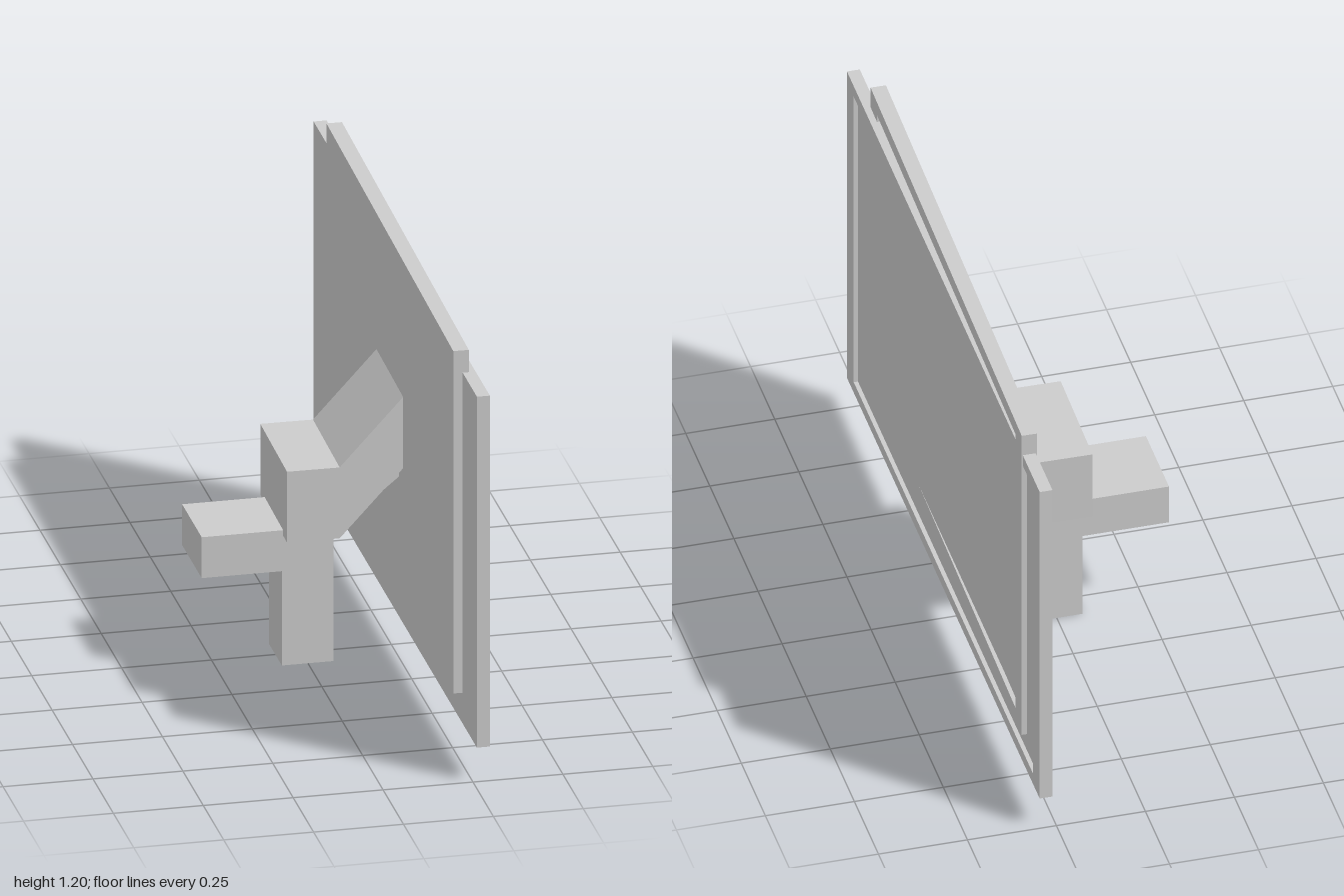
import * as THREE from 'three';

const material = new THREE.MeshStandardMaterial({ color: 0xcccccc, flatShading: true });
const openMaterial = new THREE.MeshStandardMaterial({ color: 0xcccccc, flatShading: true, side: THREE.DoubleSide });

function mesh(geometry, name, mat = material) {
  const m = new THREE.Mesh(geometry, mat);
  m.name = name;
  return m;
}

function rectangle(Type, w, h) {
  const p = new Type();
  p.moveTo(-w / 2, -h / 2);
  p.lineTo(w / 2, -h / 2);
  p.lineTo(w / 2, h / 2);
  p.lineTo(-w / 2, h / 2);
  p.closePath();
  return p;
}

// Flat screen facing +x: a backing slab with a raised bezel around the display.
// The group's origin is the middle of the screen's back.
function screen(name, width, height, thickness, border, recess) {
  const group = new THREE.Group();
  group.name = name;

  const slabDepth = thickness - recess;
  const slab = mesh(new THREE.BoxGeometry(slabDepth, height, width), 'display');
  slab.position.x = slabDepth / 2;

  const outline = rectangle(THREE.Shape, width, height);
  outline.holes.push(rectangle(THREE.Path, width - 2 * border, height - 2 * border));
  const frame = mesh(new THREE.ExtrudeGeometry(outline, { depth: recess, bevelEnabled: false }), 'bezel');
  frame.rotation.y = Math.PI / 2;
  frame.position.x = slabDepth;

  group.add(slab, frame);
  return group;
}

// Bent bracket: a side outline in x and y, extruded along z
function bracket(name, points, width) {
  const shape = new THREE.Shape(points.map(([x, y]) => new THREE.Vector2(x, y)));
  const geometry = new THREE.ExtrudeGeometry(shape, { depth: width, bevelEnabled: false });
  geometry.translate(0, 0, -width / 2);
  return mesh(geometry, name);
}

export function createModel() {
  const model = new THREE.Group();
  model.name = 'screenStand';
  const swivel = -0.0133;

  // Wide screen, square to the stand
  const wide = screen('wideScreen', 2, 1.03, 0.036, 0.07, 0.012);
  wide.scale.set(1, 1, 1);
  wide.children[1].geometry.dispose();
  const wideOutline = rectangle(THREE.Shape, 2, 1.03);
  wideOutline.holes.push(rectangle(THREE.Path, 1.86, 0.96));
  wide.children[1].geometry = new THREE.ExtrudeGeometry(wideOutline, { depth: 0.012, bevelEnabled: false });
  wide.position.set(0.261, 0.615, 0);

  // Narrower screen, slightly swivelled and cutting through the wide one
  const narrow = screen('narrowScreen', 1.65, 1.005, 0.043, 0.07, 0.012);
  narrow.children[1].geometry.dispose();
  const narrowOutline = rectangle(THREE.Shape, 1.65, 1.005);
  narrowOutline.holes.push(rectangle(THREE.Path, 1.51, 0.92));
  narrow.children[1].geometry = new THREE.ExtrudeGeometry(narrowOutline, { depth: 0.012, bevelEnabled: false });
  narrow.position.set(0.246, 0.693, 0);
  narrow.rotation.y = swivel;

  // Large bracket turns with the narrow screen
  const large = bracket('largeBracket', [
    [-0.076, 0.397], [0.07, 0.397], [0.25, 0.592], [0.25, 0.801], [0.07, 0.605], [-0.076, 0.605],
  ], 0.347);
  large.position.z = -0.004;
  large.rotation.y = swivel;

  // Small bracket reaches back past the post
  const small = bracket('smallBracket', [
    [-0.304, 0.293], [-0.06, 0.293], [0.263, 0.556], [0.263, 0.677], [-0.06, 0.413], [-0.304, 0.413],
  ], 0.24);
  small.position.z = -0.002;

  // Hollow square post, open at the foot
  const post = mesh(new THREE.CylinderGeometry(0.1, 0.1, 0.397, 4, 1, true, Math.PI / 4), 'post', openMaterial);
  post.scale.set(0.143 / 0.1414, 1, 0.16 / 0.1414);
  post.position.set(-0.001, 0.1985, 0);

  model.add(wide, narrow, large, small, post);
  return model;
}
